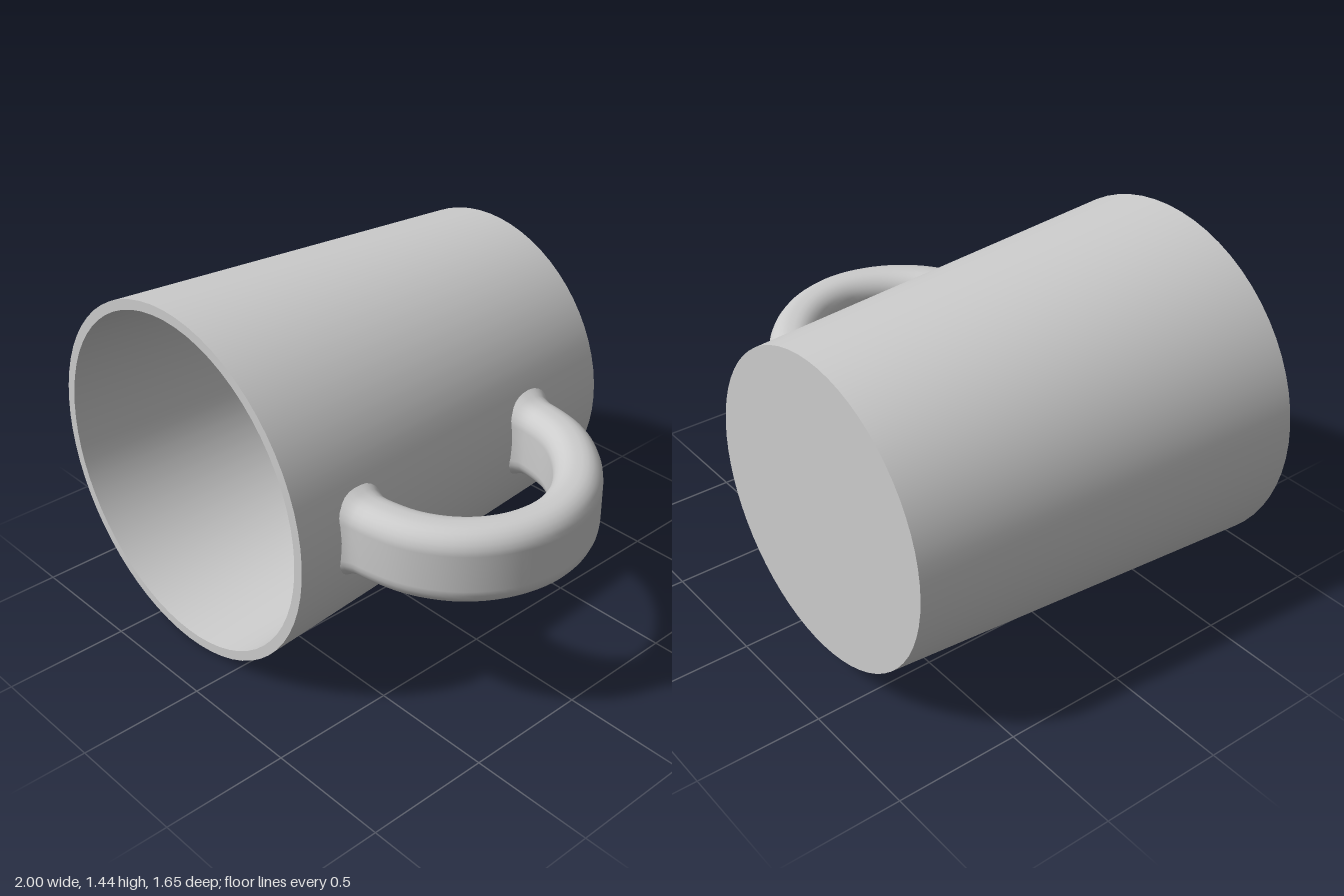
import * as THREE from 'three';
import { toCreasedNormals, mergeVertices } from 'three/addons/utils/BufferGeometryUtils.js';

const CX = -0.28, CY = 0.722;

// Hollow tapered cup: base, outer wall, rim, inner wall, rounded inner floor
function cupGeometry() {
  const pts = [[0, -0.825], [0.617, -0.825], [0.72, 0.825], [0.68, 0.825]];
  for (let i = 0; i <= 8; i++) {
    const a = (i / 8) * Math.PI / 2;
    pts.push([0.475 + 0.118 * Math.cos(a), -0.62 - 0.12 * Math.sin(a)]);
  }
  pts.push([0, -0.74]);
  const lathe = new THREE.LatheGeometry(pts.map(p => new THREE.Vector2(p[0], p[1])), 64);
  return toCreasedNormals(lathe, 0.6).rotateX(Math.PI / 2);
}

// Rounded-rectangle outline swept along a flat curve, flared where it meets the wall
function handleGeometry() {
  const path = new THREE.CatmullRomCurve3([
    [0.335, -0.405], [0.45, -0.4], [0.59, -0.362], [0.75, -0.245], [0.865, -0.085], [0.907, 0.09],
    [0.872, 0.26], [0.785, 0.39], [0.655, 0.48], [0.51, 0.52], [0.39, 0.53],
  ].map(([x, z]) => new THREE.Vector3(x, CY, z)));
  const A = 0.0925, B = 0.1525, R = 0.08, rings = 48;
  const outline = [];
  for (let c = 0; c < 4; c++) {
    const sx = c === 0 || c === 3 ? 1 : -1, sy = c < 2 ? 1 : -1;
    for (let k = 0; k <= 6; k++) {
      const a = (c + k / 6) * Math.PI / 2;
      outline.push([sx * (A - R) + R * Math.cos(a), sy * (B - R) + R * Math.sin(a)]);
    }
  }
  const n = outline.length, pos = [], index = [];
  for (let i = 0; i <= rings; i++) {
    const u = i / rings, p = path.getPointAt(u), t = path.getTangentAt(u);
    const end = Math.min(u, 1 - u) * path.getLength();
    const flare = 0.03 * Math.max(0, 1 - end / 0.08) ** 2;
    for (const [a, b] of outline) {
      const w = a * (1 + flare / A), h = b * (1 + flare / B);
      pos.push(p.x + t.z * w, p.y + h, p.z - t.x * w);
    }
  }
  for (let i = 0; i < rings; i++) {
    for (let j = 0; j < n; j++) {
      const a = i * n + j, b = i * n + (j + 1) % n;
      index.push(a, b, b + n, a, b + n, a + n);
    }
  }
  const g = new THREE.BufferGeometry();
  g.setAttribute('position', new THREE.Float32BufferAttribute(pos, 3));
  g.setIndex(index);
  const merged = mergeVertices(g);
  merged.computeVertexNormals();
  return merged;
}

export function createModel() {
  const group = new THREE.Group();
  group.name = 'mug';
  const clay = new THREE.MeshStandardMaterial({ color: 0xcccccc });
  clay.name = 'light grey';

  const cup = new THREE.Mesh(cupGeometry(), clay);
  cup.name = 'cup';
  cup.position.set(CX, CY, 0);

  const handle = new THREE.Mesh(handleGeometry(), clay);
  handle.name = 'handle';

  group.add(cup, handle);
  return group;
}
